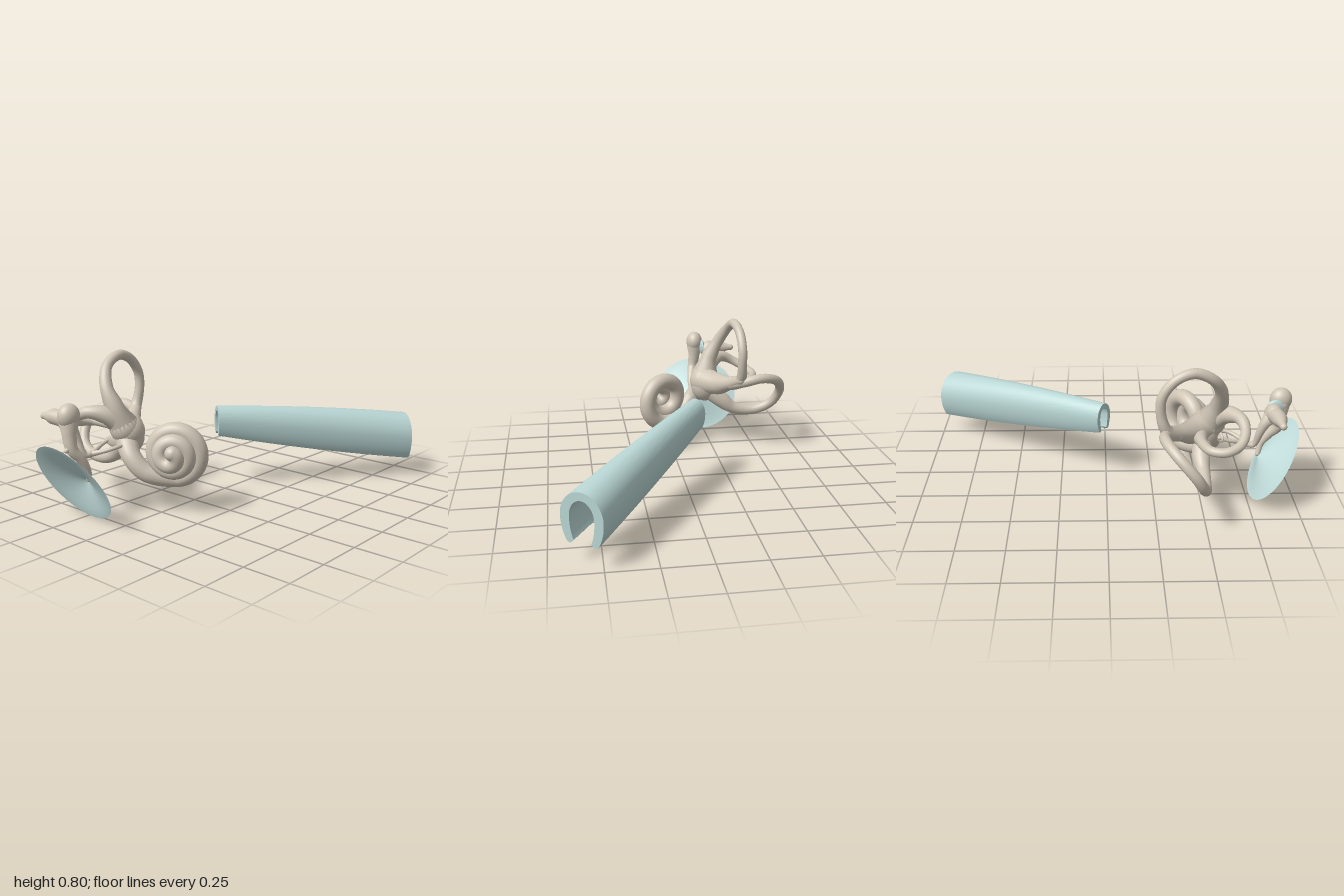
import * as THREE from 'three';
import { toCreasedNormals } from 'three/addons/utils/BufferGeometryUtils.js';

const V = (a) => new THREE.Vector3(...a);
const bone = new THREE.MeshStandardMaterial({ color: 0xd0c6b6 });
const cartilage = new THREE.MeshStandardMaterial({ color: 0xb9d6d4, side: THREE.DoubleSide });
const membrane = new THREE.MeshStandardMaterial({ color: 0xc4e0de, side: THREE.DoubleSide });

function add(parent, name, geometry, material) {
  const mesh = new THREE.Mesh(geometry, material);
  mesh.name = name;
  parent.add(mesh);
  return mesh;
}

function ball(parent, name, centre, radii, material = bone) {
  const mesh = add(parent, name, new THREE.SphereGeometry(1, 28, 20), material);
  mesh.position.set(...centre);
  mesh.scale.set(...radii);
  return mesh;
}

// Smooth tube through rows of [x, y, z, radius], with rounded ends.
function limb(parent, name, rows, segments = 64) {
  const curve = new THREE.CatmullRomCurve3(rows.map((r) => V(r)), false, 'centripetal');
  const sides = 20;
  const geo = new THREE.TubeGeometry(curve, segments, 1, sides);
  const pos = geo.attributes.position;
  const p = new THREE.Vector3();
  for (let i = 0; i <= segments; i++) {
    const c = curve.getPointAt(i / segments);
    const f = curve.getUtoTmapping(i / segments) * (rows.length - 1);
    const k = Math.min(Math.floor(f), rows.length - 2);
    const radius = THREE.MathUtils.lerp(rows[k][3], rows[k + 1][3], THREE.MathUtils.smoothstep(f - k, 0, 1));
    for (let j = 0; j <= sides; j++) {
      const n = i * (sides + 1) + j;
      p.fromBufferAttribute(pos, n).sub(c).multiplyScalar(radius).add(c);
      pos.setXYZ(n, p.x, p.y, p.z);
    }
  }
  const group = new THREE.Group();
  group.name = name;
  parent.add(group);
  add(group, name + 'Tube', geo, bone);
  for (const r of [rows[0], rows[rows.length - 1]]) ball(group, name + 'End', r.slice(0, 3), [r[3], r[3], r[3]]);
}

// Long tapering trough of cartilage, open along its underside
function auditoryTube(parent) {
  const outer = [], inner = [];
  for (let i = 0; i <= 48; i++) {
    const a = THREE.MathUtils.degToRad(-45 + (270 * i) / 48);
    const s = Math.sin(a) * (Math.sin(a) < 0 ? 1.38 : 1);
    outer.push(new THREE.Vector2(Math.cos(a), s));
    inner.unshift(new THREE.Vector2(Math.cos(a) * 0.58, s * (s < 0 ? 0.9 : 0.68)));
  }
  const tip = (x) => new THREE.Vector2(x, -1.02);
  const shape = new THREE.Shape([...outer, tip(-0.56), ...inner, tip(0.56)]);
  const geo = new THREE.ExtrudeGeometry(shape, { depth: 1, steps: 20, bevelEnabled: false });
  const start = V([0.013, 0.38, -0.07]), end = V([0.93, 0.232, 0.59]);
  const pos = geo.attributes.position;
  const c = new THREE.Vector3();
  for (let i = 0; i < pos.count; i++) {
    const t = pos.getZ(i);
    const u = pos.getX(i) * (0.058 + 0.057 * t);
    const v = pos.getY(i) * (0.08 + 0.048 * t * (2 - t));
    c.lerpVectors(start, end, t);
    pos.setXYZ(i, c.x + u * 0.59, c.y + v, c.z - u * 0.81);
  }
  add(parent, 'auditoryTube', toCreasedNormals(geo, 0.7), cartilage);
}

// Tilted oval membrane drawn inwards to a point at its middle
function eardrum(parent) {
  const geo = new THREE.RingGeometry(0.002, 1, 64, 16);
  const pos = geo.attributes.position;
  for (let i = 0; i < pos.count; i++) {
    const a = pos.getX(i), b = pos.getY(i);
    const pull = Math.pow(Math.max(0, 1 - Math.hypot(a, b)), 1.3);
    pos.setXYZ(i, -0.885 - 0.115 * b + 0.01 * a + 0.075 * pull, 0.205 + 0.205 * b, -0.225 - 0.255 * a + 0.03 * pull);
  }
  geo.computeVertexNormals();
  add(parent, 'eardrum', geo, membrane);
}

function hammer(parent) {
  const g = new THREE.Group();
  g.name = 'hammerBone';
  parent.add(g);
  ball(g, 'hammerHead', [-0.902, 0.55, -0.212], [0.058, 0.062, 0.05]);
  limb(g, 'hammerHandle', [
    [-0.9, 0.53, -0.215, 0.05], [-0.905, 0.45, -0.21, 0.035], [-0.9, 0.385, -0.2, 0.03],
    [-0.86, 0.33, -0.185, 0.024], [-0.825, 0.27, -0.18, 0.017], [-0.812, 0.215, -0.19, 0.014]], 40);
  limb(g, 'hammerProcess', [[-0.9, 0.4, -0.2, 0.026], [-0.935, 0.385, -0.2, 0.012]], 8);
}

function anvil(parent) {
  const g = new THREE.Group();
  g.name = 'anvilBone';
  parent.add(g);
  ball(g, 'anvilBody', [-0.852, 0.51, -0.3], [0.045, 0.052, 0.055]);
  limb(g, 'anvilShortProcess', [
    [-0.85, 0.51, -0.29, 0.045], [-0.865, 0.515, -0.37, 0.04], [-0.872, 0.51, -0.445, 0.018]], 24);
  limb(g, 'anvilLongProcess', [
    [-0.845, 0.5, -0.3, 0.042], [-0.81, 0.45, -0.3, 0.026], [-0.79, 0.39, -0.29, 0.02],
    [-0.778, 0.335, -0.275, 0.017], [-0.762, 0.312, -0.267, 0.016], [-0.738, 0.314, -0.262, 0.018]], 40);
  ball(g, 'jointCartilage', [-0.868, 0.52, -0.256], [0.046, 0.046, 0.016], cartilage);
}

function stirrup(parent) {
  const g = new THREE.Group();
  g.name = 'stirrupBone';
  parent.add(g);
  for (const [name, z, y] of [['rearArm', -0.28, 0.362], ['frontArm', -0.175, 0.345]])
    limb(g, name, [
      [-0.735, 0.314, -0.262, 0.015], [-0.69, 0.33, z * 0.6 - 0.1, 0.011],
      [-0.64, 0.343, z, 0.01], [-0.585, y, z, 0.01]], 24);
  const plate = ball(g, 'footplate', [-0.585, 0.355, -0.225], [0.014, 0.035, 0.075]);
  plate.rotation.y = 0.25;
}

function labyrinth(parent) {
  const g = new THREE.Group();
  g.name = 'innerEar';
  parent.add(g);
  // Central chamber and the shared leg of two canals
  ball(g, 'vestibule', [-0.515, 0.375, -0.215], [0.08, 0.1, 0.085]);
  limb(g, 'commonLeg', [
    [-0.52, 0.4, -0.21, 0.085], [-0.44, 0.4, -0.28, 0.065], [-0.36, 0.425, -0.345, 0.04], [-0.295, 0.46, -0.39, 0.03]], 32);
  // Three looping canals, each swollen at one foot
  limb(g, 'upperCanal', [
    [-0.54, 0.42, -0.215, 0.08], [-0.575, 0.53, -0.25, 0.048], [-0.578, 0.63, -0.305, 0.034],
    [-0.525, 0.725, -0.355, 0.028], [-0.43, 0.768, -0.372, 0.027], [-0.335, 0.735, -0.385, 0.026],
    [-0.272, 0.65, -0.39, 0.026], [-0.267, 0.56, -0.39, 0.026], [-0.295, 0.47, -0.39, 0.03],
    [-0.36, 0.42, -0.35, 0.036]], 96);
  limb(g, 'rearCanal', [
    [-0.35, 0.42, -0.35, 0.035], [-0.295, 0.445, -0.41, 0.03], [-0.29, 0.465, -0.52, 0.028],
    [-0.345, 0.43, -0.62, 0.028], [-0.425, 0.345, -0.658, 0.028], [-0.475, 0.255, -0.62, 0.028],
    [-0.495, 0.208, -0.52, 0.029], [-0.495, 0.225, -0.39, 0.036], [-0.49, 0.28, -0.315, 0.048],
    [-0.505, 0.35, -0.23, 0.055]], 96);
  limb(g, 'sideCanal', [
    [-0.545, 0.43, -0.22, 0.06], [-0.62, 0.495, -0.275, 0.046], [-0.677, 0.505, -0.35, 0.032],
    [-0.69, 0.47, -0.425, 0.026], [-0.655, 0.43, -0.495, 0.024], [-0.585, 0.41, -0.525, 0.024],
    [-0.515, 0.405, -0.5, 0.024], [-0.483, 0.4, -0.42, 0.027], [-0.48, 0.39, -0.32, 0.038],
    [-0.5, 0.38, -0.24, 0.05]], 96);
  // Spiral winding inwards and sideways from the chamber
  const rows = [[-0.545, 0.36, -0.2, 0.06], [-0.565, 0.28, -0.14, 0.05], [-0.53, 0.205, -0.07, 0.049]];
  const turns = 2.4, n = 36;
  for (let i = 0; i <= n; i++) {
    const t = i / n;
    const a = -Math.PI * 0.5 + t * turns * Math.PI * 2;
    const r = 0.142 - 0.112 * Math.pow(t, 0.9);
    const s = 0.125 * Math.pow(t, 1.1);
    const h = Math.cos(a) * r;
    rows.push([-0.425 + 0.46 * h - 0.89 * s, 0.315 + Math.sin(a) * r, 0.035 + 0.89 * h + 0.46 * s, 0.047 - 0.009 * t]);
  }
  limb(g, 'cochlea', rows, 240);
}

export function createModel() {
  const model = new THREE.Group();
  model.name = 'earAnatomy';
  for (const build of [auditoryTube, eardrum, hammer, anvil, stirrup, labyrinth]) build(model);
  return model;
}
